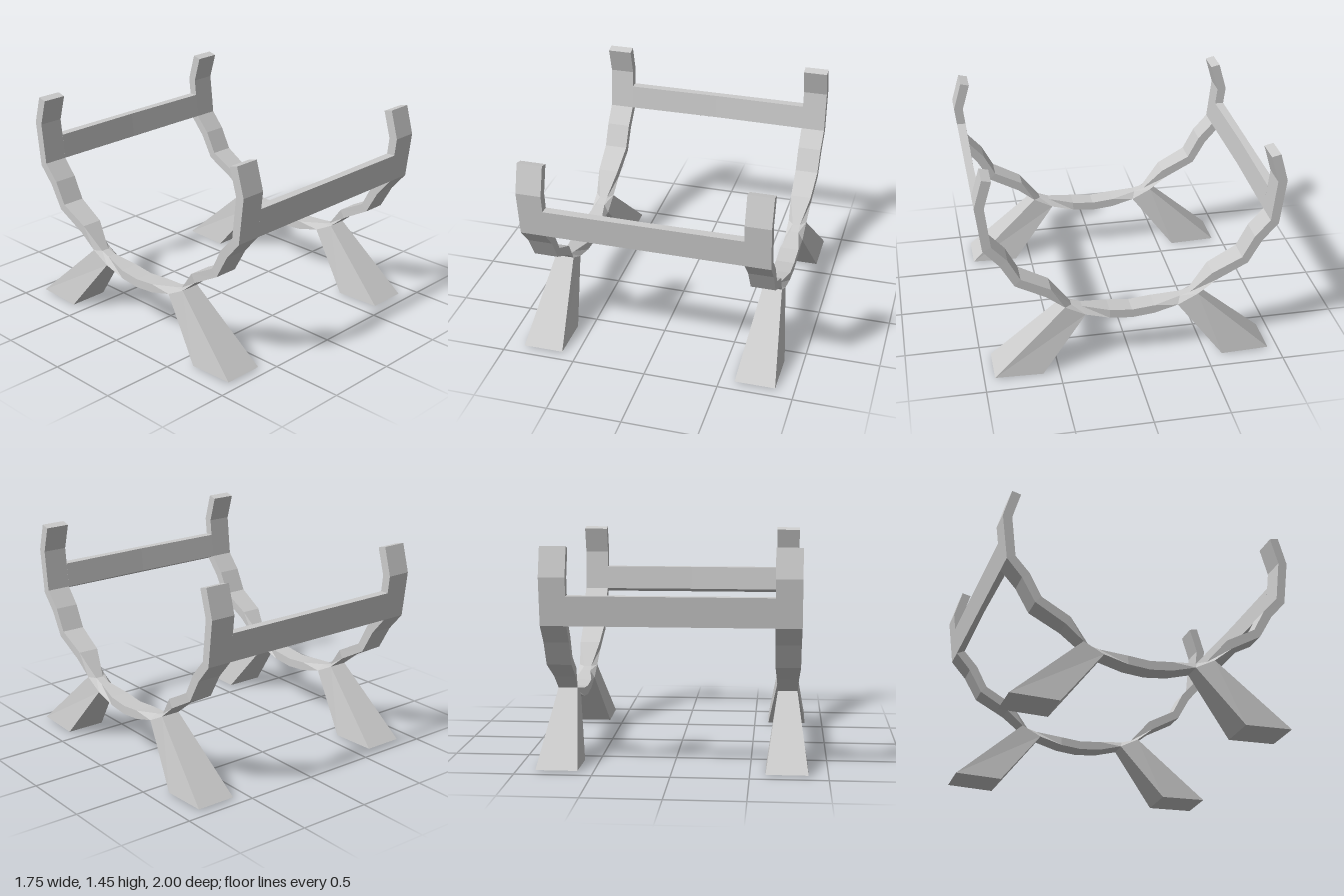
import * as THREE from 'three';

const material = new THREE.MeshStandardMaterial({ color: 0xcccccc, flatShading: true });
const SIDE_X = 0.737;

// Skin a list of four-cornered rings (clockwise seen along the travel) and cap both ends
function loft(name, rings) {
  const pos = [];
  const tri = (...points) => points.forEach((p) => pos.push(...p));
  for (let s = 0; s < rings.length - 1; s++) {
    const r = rings[s], n = rings[s + 1];
    for (let i = 0; i < 4; i++) {
      const j = (i + 1) % 4;
      tri(r[i], r[j], n[j]);
      tri(r[i], n[j], n[i]);
    }
  }
  const a = rings[0], b = rings[rings.length - 1];
  tri(a[0], a[2], a[1]);
  tri(a[0], a[3], a[2]);
  tri(b[0], b[1], b[2]);
  tri(b[0], b[2], b[3]);
  const geometry = new THREE.BufferGeometry();
  geometry.setAttribute('position', new THREE.Float32BufferAttribute(pos, 3));
  geometry.computeVertexNormals();
  const mesh = new THREE.Mesh(geometry, material);
  mesh.name = name;
  return mesh;
}

// Ring from an outer and an inner edge, each with its own half width
const ring = (zo, yo, wo, zi, yi, wi) => [[wo, yo, zo], [-wo, yo, zo], [-wi, yi, zi], [wi, yi, zi]];

// Half of the curved side strap, from the upright tip to the lowest point
const strapHalf = [
  [0.945, 1.45, 0.084, 0.885, 1.435, 0.084],
  [1.0, 1.26, 0.084, 0.938, 1.255, 0.084],
  [0.963, 0.95, 0.084, 0.907, 0.975, 0.084],
  [0.86, 0.83, 0.082, 0.808, 0.865, 0.082],
  [0.77, 0.67, 0.081, 0.73, 0.715, 0.081],
  [0.565, 0.555, 0.072, 0.535, 0.61, 0.072],
  [0.445, 0.456, 0.065, 0.4, 0.452, 0.027],
  [0.31, 0.385, 0.065, 0.33, 0.432, 0.03],
  [0.15, 0.34, 0.065, 0.15, 0.4, 0.065],
  [0, 0.325, 0.065, 0, 0.385, 0.065],
];

function sideStrap() {
  const back = strapHalf.slice(0, -1).reverse()
    .map(([zo, yo, wo, zi, yi, wi]) => [-zo, yo, wo, -zi, yi, wi]);
  return loft('sideStrap', [...strapHalf, ...back].map((s) => ring(...s)));
}

// Splayed leg, wider towards the foot
function leg() {
  return loft('leg', [
    ring(0.445, 0.456, 0.065, 0.31, 0.385, 0.065),
    ring(0.93, 0.01, 0.136, 0.61, 0, 0.136),
  ]);
}

// Bar between the uprights, its inner face slightly hollowed at the middle
function crossbar() {
  const section = (x, dz) => [
    [x, 0.95, 0.963], [x, 1.142, 0.986], [x, 1.142, 0.925 + dz], [x, 0.975, 0.907 + dz],
  ];
  return loft('crossbar', [section(0.653, 0), section(0, 0.008), section(-0.653, 0)]);
}

export function createModel() {
  const model = new THREE.Group();
  model.name = 'cradleStand';

  for (const side of [1, -1]) {
    const frame = new THREE.Group();
    frame.name = side > 0 ? 'leftFrame' : 'rightFrame';
    frame.position.x = side * SIDE_X;
    const backLeg = leg();
    backLeg.rotation.y = Math.PI;
    frame.add(sideStrap(), leg(), backLeg);
    model.add(frame);
  }

  const backBar = crossbar();
  backBar.rotation.y = Math.PI;
  model.add(crossbar(), backBar);
  return model;
}
